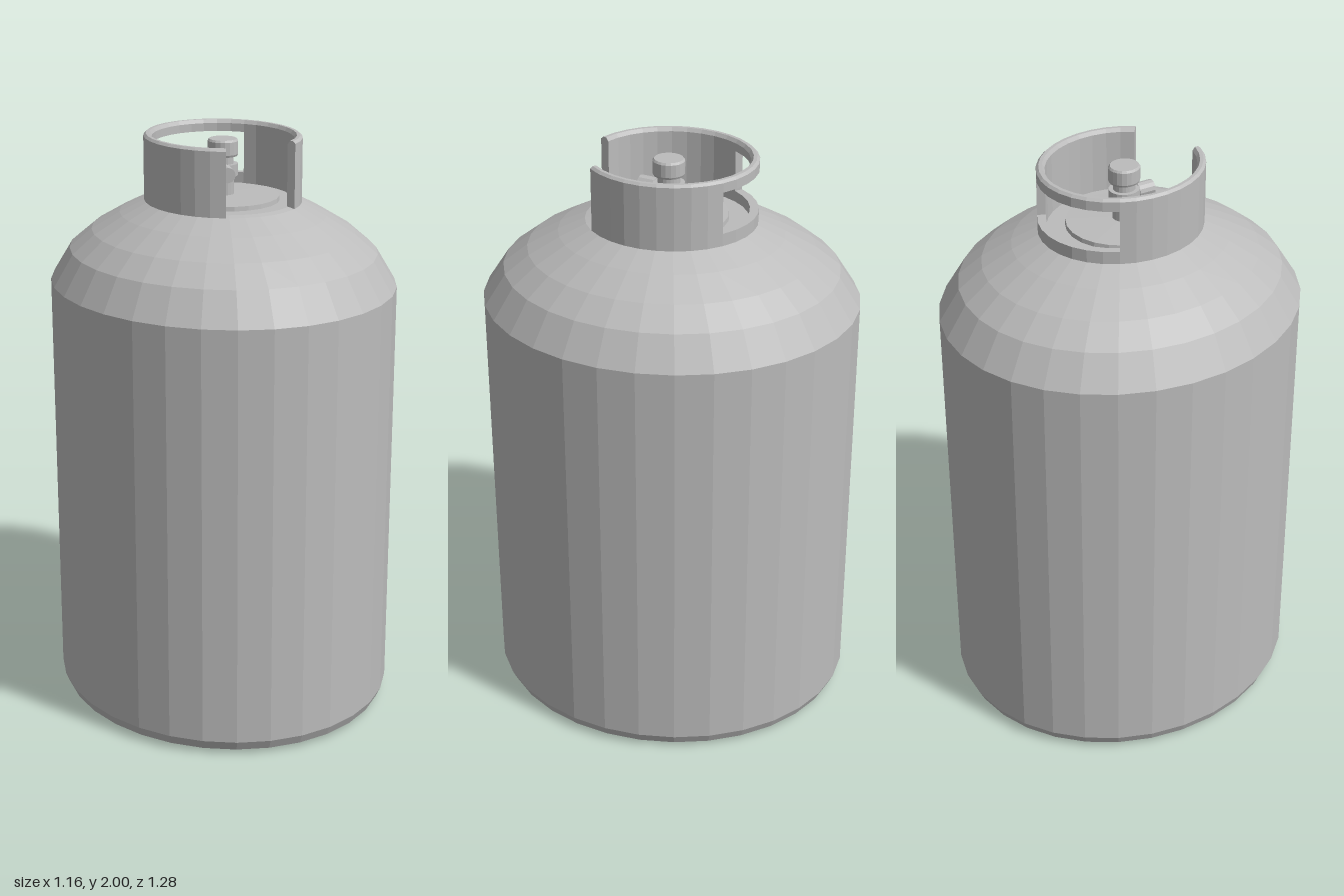
import * as THREE from 'three';

const deg = THREE.MathUtils.degToRad;
const vec = (points) => points.map(([x, y]) => new THREE.Vector2(x, y));

export function createModel() {
  const metal = new THREE.MeshStandardMaterial({ color: 0xbcbcbc });
  metal.name = 'grey metal';
  metal.flatShading = true;
  metal.side = THREE.DoubleSide;

  const model = new THREE.Group();
  model.name = 'gasBottle';

  function add(name, geometry, parent) {
    const mesh = new THREE.Mesh(geometry, metal);
    mesh.name = name;
    parent.add(mesh);
    return mesh;
  }

  // Everything round is slightly deeper than wide
  const shell = new THREE.Group();
  shell.name = 'shell';
  shell.scale.z = 1.103;
  model.add(shell);

  // Tank: rounded foot, straight wall, stepped dome, flat top
  add('tank', new THREE.LatheGeometry(vec([
    [0, 0], [0.53, 0], [0.565, 0.015], [0.58, 0.05], [0.58, 1.5], [0.515, 1.61],
    [0.44, 1.675], [0.345, 1.733], [0.262, 1.775], [0.24, 1.78], [0, 1.78],
  ]), 32), shell);

  // Collar pieces: a closed wall section swept part of the way round, with end faces
  function collarPiece(name, y0, y1, from, to, isTop) {
    const bevel = isTop ? 0.008 : 0;
    const section = vec([
      [0.235, y0], [0.262, y0], [0.262, y1 - bevel], [0.262 - bevel, y1],
      [0.235 + bevel, y1], [0.235, y1 - bevel * 1.5],
    ]);
    const steps = Math.round((to - from) / 11.25);
    const piece = new THREE.Group();
    piece.name = name;
    shell.add(piece);
    add(name + 'Wall', new THREE.LatheGeometry([...section, section[0]], steps,
      deg(from), deg(to - from)), piece);
    for (const angle of [from, to]) {
      const end = add(name + 'End', new THREE.ShapeGeometry(new THREE.Shape(section)), piece);
      end.rotation.y = deg(angle - 90);
    }
  }
  // Gap at the front, hand hole at the back
  collarPiece('collarLeft', 1.775, 2, 35.5, 135, true);
  collarPiece('collarRight', 1.775, 2, 225, 335, true);
  collarPiece('collarTopRail', 1.96, 2, 135, 225, true);
  collarPiece('collarLowerRail', 1.775, 1.818, 135, 225, false);

  // Valve plate on the flat top
  const valve = new THREE.Group();
  valve.name = 'valve';
  valve.position.set(-0.004, 0, 0.01);
  valve.scale.z = 1.06;
  model.add(valve);
  add('valvePlate', new THREE.LatheGeometry(vec([
    [0.19, 1.775], [0.188, 1.795], [0, 1.8],
  ]), 24), valve);

  // Valve stem, collar nut, neck and hand knob
  add('valveStem', new THREE.LatheGeometry(vec([
    [0.038, 1.79], [0.038, 1.862], [0.05, 1.862], [0.05, 1.902], [0.036, 1.902],
    [0.036, 1.928], [0.048, 1.928], [0.051, 1.935], [0.051, 1.978], [0.046, 1.985], [0, 1.985],
  ]), 20), valve);

  // Outlet pointing forward and a little to the right
  const outlet = new THREE.Group();
  outlet.name = 'outlet';
  outlet.position.y = 1.88;
  outlet.rotation.y = deg(-17);
  valve.add(outlet);
  for (const [name, radius, start, end] of [['outletPipe', 0.018, 0, 0.06], ['outletNut', 0.026, 0.045, 0.1]]) {
    const pipe = add(name, new THREE.CylinderGeometry(radius, radius, end - start, 12), outlet);
    pipe.rotation.x = Math.PI / 2;
    pipe.position.z = (start + end) / 2;
  }

  return model;
}
